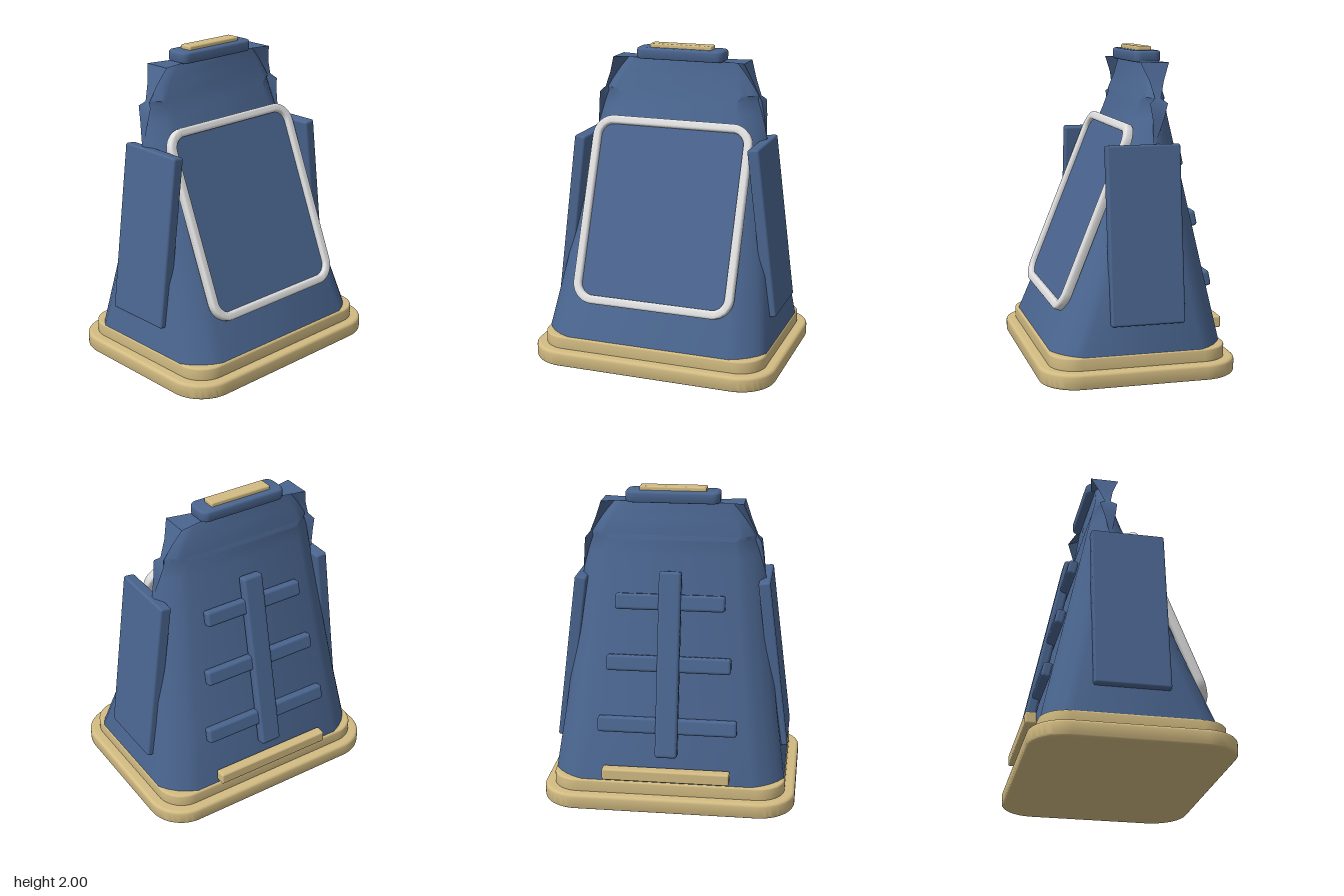
import * as THREE from 'three';
import { toCreasedNormals } from 'three/addons/utils/BufferGeometryUtils.js';
import { RoundedBoxGeometry } from 'three/addons/geometries/RoundedBoxGeometry.js';

const paint = (name, color) => Object.assign(new THREE.MeshStandardMaterial({ color }), { name });

// Rounded rectangle outline, w and h are full sizes
function roundedRect(w, h, r, Kind = THREE.Shape) {
  const s = new Kind(), x = w / 2, y = h / 2;
  s.absarc(x - r, y - r, r, 0, Math.PI / 2);
  s.absarc(-x + r, y - r, r, Math.PI / 2, Math.PI);
  s.absarc(-x + r, -y + r, r, Math.PI, Math.PI * 1.5);
  s.absarc(x - r, -y + r, r, Math.PI * 1.5, Math.PI * 2);
  s.closePath();
  return s;
}

// Bevelled slab lying flat, from y0 to y1
function slab(w, d, r, y0, y1, bevel) {
  const g = new THREE.ExtrudeGeometry(roundedRect(w - 2 * bevel, d - 2 * bevel, r - bevel), {
    depth: y1 - y0 - 2 * bevel, bevelThickness: bevel, bevelSize: bevel, bevelSegments: 4, curveSegments: 10,
  });
  g.rotateX(-Math.PI / 2).translate(0, y0 + bevel, 0);
  return toCreasedNormals(g, 0.6);
}

// Body cross-section: rectangle with softly rounded corners of size c
// (near the top the corners overlap and fold into small flared fins)
function section([y, w, front, back, c]) {
  const pts = [], n = 4;
  const corner = (sx, z, sz, flip) => {
    for (let k = 0; k <= n; k++) {
      const t = flip ? 1 - k / n : k / n, a = t * Math.PI / 2;
      const u = 0.55 * t + 0.45 * (1 - Math.cos(a)), v = 0.55 * (1 - t) + 0.45 * (1 - Math.sin(a));
      // t = 0 lies on the side, t = 1 on the front or back
      const side = 1 - v, across = u;
      pts.push([sx * (w - c * 1.15 * across), y, z - sz * c * (1 - side)]);
    }
  };
  corner(1, front, 1, false);
  corner(-1, front, 1, true);
  corner(-1, back, -1, false);
  corner(1, back, -1, true);
  return pts;
}

function bodyGeometry() {
  // y, half width, front z, back z, corner size
  const rows = [
    [0.16, 0.737, 0.548, -0.545, 0.17],
    [0.6, 0.674, 0.37, -0.45, 0.16],
    [1.0, 0.625, 0.208, -0.363, 0.15],
    [1.4, 0.583, 0.046, -0.277, 0.145],
    [1.58, 0.563, -0.03, -0.238, 0.14],
    [1.67, 0.55, -0.062, -0.22, 0.135],
    [1.7, 0.525, -0.07, -0.212, 0.09],
    [1.8, 0.482, -0.1, -0.19, 0.09],
    [1.91, 0.44, -0.11, -0.18, 0.125],
  ].map(section);
  const m = rows[0].length, pos = rows.flat(2), idx = [];
  for (let i = 0; i < rows.length - 1; i++) {
    for (let j = 0; j < m; j++) {
      const a = i * m + j, b = i * m + (j + 1) % m;
      idx.push(a, a + m, b, b, a + m, b + m);
    }
  }
  // closed top
  const last = (rows.length - 1) * m, hub = pos.length / 3;
  pos.push(0, 1.91, -0.145);
  for (let j = 0; j < m; j++) idx.push(last + j, hub, last + (j + 1) % m);
  const g = new THREE.BufferGeometry();
  g.setAttribute('position', new THREE.Float32BufferAttribute(pos, 3));
  g.setIndex(idx);
  return toCreasedNormals(g, 0.6);
}

export function createModel() {
  const root = new THREE.Group();
  root.name = 'pod';
  const blue = paint('slate blue', 0x4a658f);
  const tan = paint('sand', 0xd2bb82);
  const white = paint('off white', 0xdedede);
  blue.side = THREE.DoubleSide;

  const add = (parent, name, geo, mat, x = 0, y = 0, z = 0) => {
    const mesh = new THREE.Mesh(geo, mat);
    mesh.name = name;
    mesh.position.set(x, y, z);
    parent.add(mesh);
    return mesh;
  };
  const box = (w, h, d, r) => new RoundedBoxGeometry(w, h, d, 3, r);

  // Stepped base
  add(root, 'basePlinth', slab(1.61, 1.235, 0.23, 0, 0.1, 0.02), tan);
  add(root, 'baseStep', slab(1.48, 1.11, 0.17, 0.09, 0.18, 0.012), tan);

  // Tapered body
  add(root, 'body', bodyGeometry(), blue);

  // Leaning front window: frame and pane
  const front = new THREE.Group();
  front.name = 'frontWindow';
  front.position.set(0, 0.965, 0.23);
  front.rotation.x = -0.385;
  root.add(front);
  const bevel = 0.016;
  const outline = roundedRect(1.07 - 2 * bevel, 1.225 - 2 * bevel, 0.12);
  outline.holes.push(roundedRect(0.96 + 2 * bevel, 1.115 + 2 * bevel, 0.096, THREE.Path));
  const frame = new THREE.ExtrudeGeometry(outline, {
    depth: 0.026, bevelThickness: bevel, bevelSize: bevel, bevelSegments: 4, curveSegments: 10,
  });
  add(front, 'windowFrame', toCreasedNormals(frame, 0.6), white, 0, 0, 0.0);
  const pane = new THREE.ExtrudeGeometry(roundedRect(1.0, 1.155, 0.1), { depth: 0.008, bevelEnabled: false });
  add(front, 'windowPane', pane, blue, 0, 0, 0.004);

  // Side panels
  for (const s of [1, -1]) {
    const panel = add(root, s > 0 ? 'leftSidePanel' : 'rightSidePanel', box(0.075, 1.085, 0.46, 0.014), blue, s * 0.642, 0.89, -0.03);
    panel.rotation.z = s * 0.125;
  }

  // Rear spine with three cross bars
  const rear = new THREE.Group();
  rear.name = 'rearRack';
  rear.position.set(0, 0.925, -0.42);
  rear.rotation.x = 0.21;
  root.add(rear);
  add(rear, 'rearSpine', box(0.14, 1.165, 0.07, 0.02), blue);
  [[0.39, 0.685], [0.005, 0.78], [-0.385, 0.875]].forEach(([y, w], i) =>
    add(rear, 'rearBar' + (i + 1), box(w, 0.1, 0.06, 0.018), blue, 0, y, 0.012));

  // Low rear strip
  add(root, 'rearStrip', box(0.8, 0.075, 0.07, 0.012), tan, 0, 0.247, -0.572);

  // Roof cap and light
  add(root, 'roofCap', slab(0.585, 0.175, 0.05, 1.903, 1.975, 0.016), blue, 0, 0, -0.147);
  add(root, 'roofLight', box(0.415, 0.05, 0.09, 0.01), tan, 0, 1.975, -0.147);

  return root;
}
